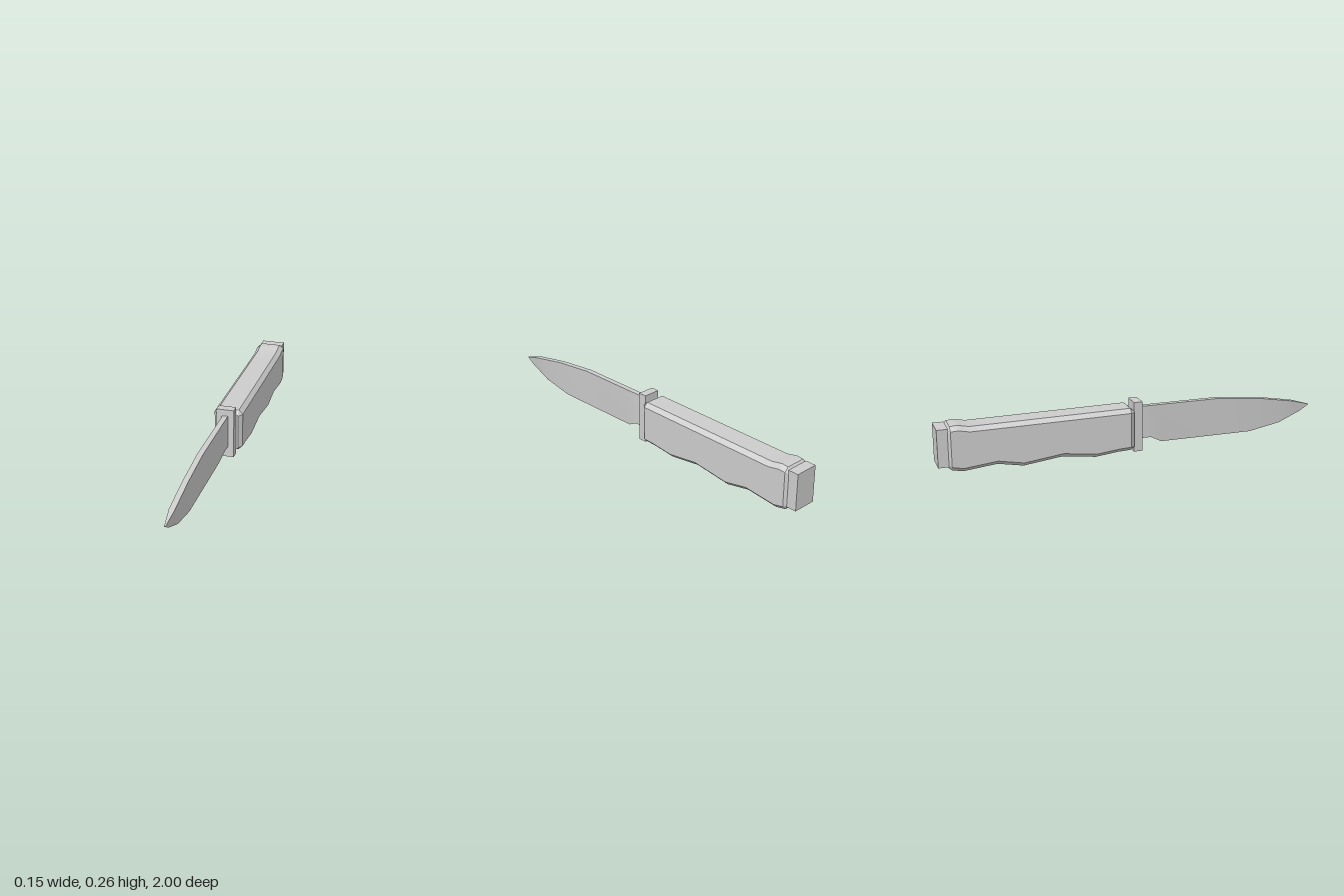
import * as THREE from 'three';
import { toCreasedNormals } from 'three/addons/utils/BufferGeometryUtils.js';

// Joins cross-sections (counter-clockwise seen from +z, ordered back to front) and caps the ends
function loft(sections, crease) {
  const n = sections[0].length, last = (sections.length - 1) * n, index = [];
  for (let i = 0; i < sections.length - 1; i++) {
    for (let j = 0; j < n; j++) {
      const a = i * n + j, b = i * n + (j + 1) % n;
      index.push(a, b, b + n, a, b + n, a + n);
    }
  }
  for (let j = 1; j < n - 1; j++) {
    index.push(0, j + 1, j, last, last + j, last + j + 1);
  }
  const geometry = new THREE.BufferGeometry();
  geometry.setAttribute('position', new THREE.Float32BufferAttribute(sections.flat(2), 3));
  geometry.setIndex(index);
  return toCreasedNormals(geometry, crease);
}

// Linear interpolation of a [z, y] outline with rising z
function heightAt(outline, z) {
  for (let i = 1; i < outline.length; i++) {
    const [z0, y0] = outline[i - 1], [z1, y1] = outline[i];
    if (z <= z1) return y0 + (y1 - y0) * (z - z0) / (z1 - z0);
  }
  return outline[outline.length - 1][1];
}

// Octagonal section of the grip
function gripSection(z, halfWidth, bottom, top, bevel) {
  const w = halfWidth, v = w - bevel;
  return [
    [v, bottom, z], [w, bottom + bevel, z], [w, top - bevel, z], [v, top, z],
    [-v, top, z], [-w, top - bevel, z], [-w, bottom + bevel, z], [-v, bottom, z],
  ];
}

export function createModel() {
  const model = new THREE.Group();
  model.name = 'knife';
  const grey = new THREE.MeshStandardMaterial({ color: 0xcccccc });
  grey.name = 'plain grey';

  const add = (name, geometry) => {
    const mesh = new THREE.Mesh(geometry, grey);
    mesh.name = name;
    model.add(mesh);
    return mesh;
  };
  const addBlock = (name, width, y0, y1, z0, z1) =>
    add(name, new THREE.BoxGeometry(width, y1 - y0, z1 - z0))
      .position.set(0, (y0 + y1) / 2, (z0 + z1) / 2);

  // Grip: finger grooves below, flared heel, bevelled edges and ends
  const gripTop = [[-0.935, 0.243], [-0.9, 0.246], [-0.84, 0.234], [-0.025, 0.242]];
  const gripBottom = [[-0.935, 0.022], [-0.88, 0.01], [-0.71, 0.028], [-0.58, 0.003],
    [-0.38, 0.028], [-0.21, 0.005], [-0.09, 0.018], [-0.025, 0.021]];
  const stations = [-0.935, -0.9, -0.88, -0.84, -0.71, -0.58, -0.38, -0.21, -0.09, -0.025];
  const grip = stations.map(z =>
    gripSection(z, 0.074, heightAt(gripBottom, z), heightAt(gripTop, z), 0.021));
  grip.unshift(gripSection(-0.95, 0.06, 0.036, 0.228, 0.012));
  grip.push(gripSection(-0.003, 0.055, 0.032, 0.222, 0.005));
  add('grip', loft(grip, 0.5));

  // Guard and pommel
  addBlock('guard', 0.09, 0.006, 0.267, -0.003, 0.042);
  addBlock('pommel', 0.124, 0.042, 0.234, -1, -0.945);

  // Blade: thick spine, thin cutting edge, tapered tip
  const spine = [[0.03, 0.233], [0.48, 0.233], [0.7, 0.211], [0.9, 0.176], [1, 0.147]];
  const edge = [[0.03, 0.063], [0.1, 0.063], [0.16, 0.03], [0.66, 0.03],
    [0.83, 0.062], [0.95, 0.114], [1, 0.145]];
  const spineWidth = [[0.03, 0.014], [0.9, 0.014], [1, 0.003]];
  const edgeWidth = [[0.03, 0.014], [0.1, 0.014], [0.16, 0.003], [1, 0.003]];
  const blade = [0.03, 0.1, 0.16, 0.48, 0.66, 0.7, 0.83, 0.9, 0.95, 1].map(z => {
    const t = heightAt(spine, z), b = heightAt(edge, z);
    const tw = heightAt(spineWidth, z), bw = heightAt(edgeWidth, z);
    return [[bw, b, z], [tw, t, z], [-tw, t, z], [-bw, b, z]];
  });
  add('blade', loft(blade, 0.5));

  return model;
}
